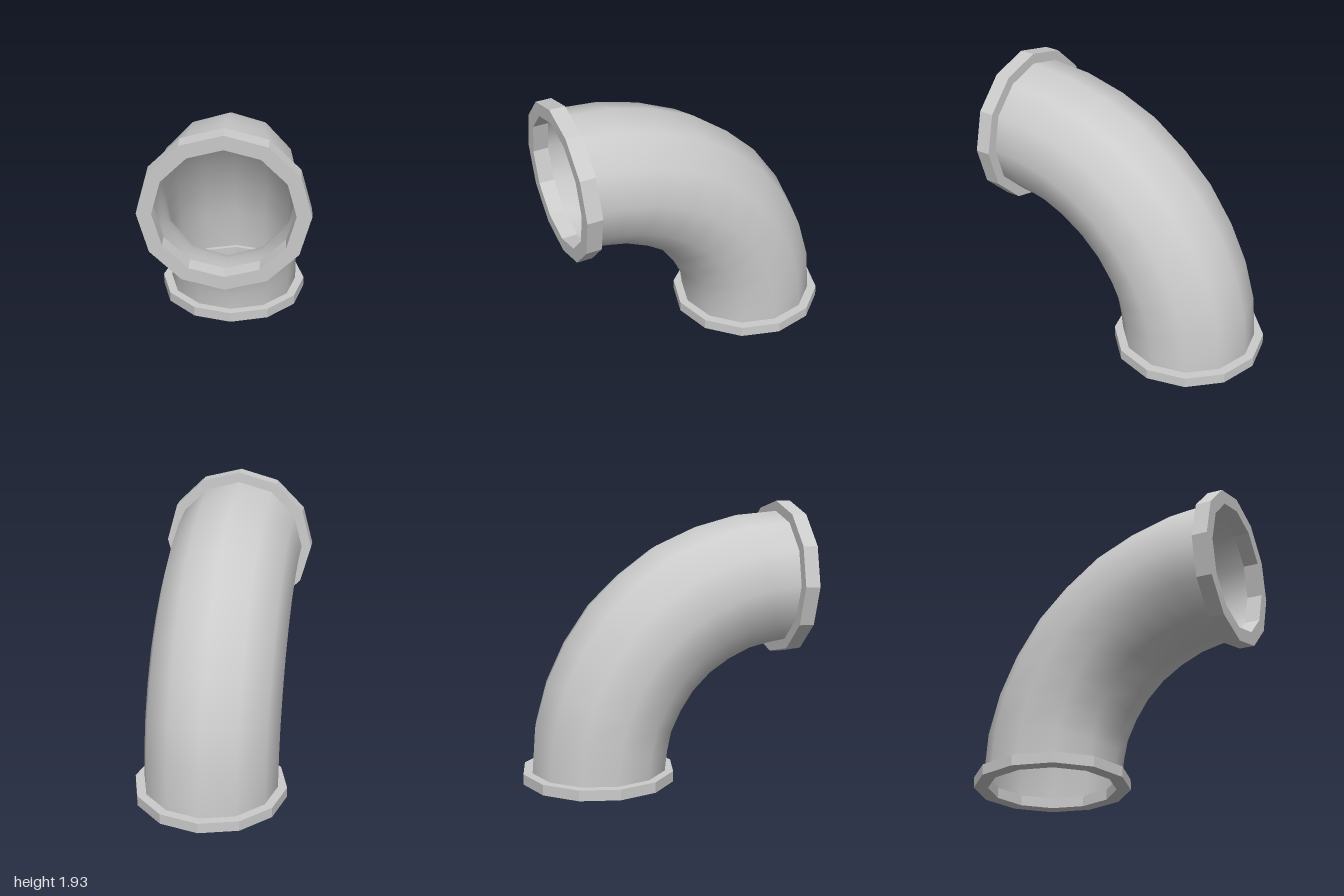
import * as THREE from 'three';

const SIDES = 12;
const grey = (extra) => new THREE.MeshStandardMaterial({ color: 0xcccccc, ...extra });

// Bend profile as [z, y]: outside and inside of the elbow, from the base to the mouth
const OUTER = [[-0.935, 0.07], [-0.91, 0.4], [-0.825, 0.7], [-0.69, 0.98], [-0.5, 1.25],
  [-0.28, 1.455], [-0.02, 1.64], [0.27, 1.76], [0.58, 1.835], [0.89, 1.855]];
const INNER = [[0.025, 0.07], [0.055, 0.3], [0.175, 0.55], [0.385, 0.755], [0.65, 0.87], [0.87, 0.9]];

// Point at fraction t along a profile, counted by segments
function along(profile, t) {
  const f = t * (profile.length - 1);
  const i = Math.min(Math.floor(f), profile.length - 2);
  return [0, 1].map((k) => THREE.MathUtils.lerp(profile[i][k], profile[i + 1][k], f - i));
}

// Twelve-sided rings spanning the outside and inside of the bend
function createElbow() {
  const rings = OUTER.map((o, i) => [o, along(INNER, i / (OUTER.length - 1))]);
  rings.unshift([[-0.935, 0.02], [0.025, 0.02]]); // ends run into the flanges
  rings.push([[0.95, 1.857], [0.93, 0.902]]);

  const positions = [];
  const index = [];
  rings.forEach(([o, n], i) => {
    const cz = (o[0] + n[0]) / 2;
    const cy = (o[1] + n[1]) / 2;
    for (let j = 0; j < SIDES; j++) {
      const a = (j / SIDES) * Math.PI * 2;
      positions.push(0.478 * Math.sin(a), cy + Math.cos(a) * (o[1] - cy), cz + Math.cos(a) * (o[0] - cz));
      if (i === rings.length - 1) continue;
      const p = i * SIDES + j;
      const q = i * SIDES + ((j + 1) % SIDES);
      index.push(p, p + SIDES, q, q, p + SIDES, q + SIDES);
    }
  });
  const geometry = new THREE.BufferGeometry();
  geometry.setAttribute('position', new THREE.Float32BufferAttribute(positions, 3));
  geometry.setIndex(index);
  geometry.computeVertexNormals();
  const mesh = new THREE.Mesh(geometry, grey({ side: THREE.DoubleSide }));
  mesh.name = 'elbowPipe';
  return mesh;
}

// Flat-sided ring with a bore, rising from its own origin along y
function createFlange(name, radius, bore, height) {
  const section = [[bore, 0], [radius, 0], [radius, height], [bore, height], [bore, 0]];
  const geometry = new THREE.LatheGeometry(section.map(([x, y]) => new THREE.Vector2(x, y)), SIDES);
  const mesh = new THREE.Mesh(geometry, grey({ flatShading: true }));
  mesh.name = name;
  return mesh;
}

export function createModel() {
  const group = new THREE.Group();
  group.name = 'pipeElbow';

  const base = createFlange('baseFlange', 0.543, 0.445, 0.075);
  base.position.z = -0.457;

  // The mouth leans slightly downwards
  const mouth = createFlange('mouthFlange', 0.55, 0.453, 0.108);
  mouth.position.set(0, 1.378, 0.878);
  mouth.rotation.x = Math.PI / 2 + 0.026;

  group.add(createElbow(), base, mouth);
  return group;
}
